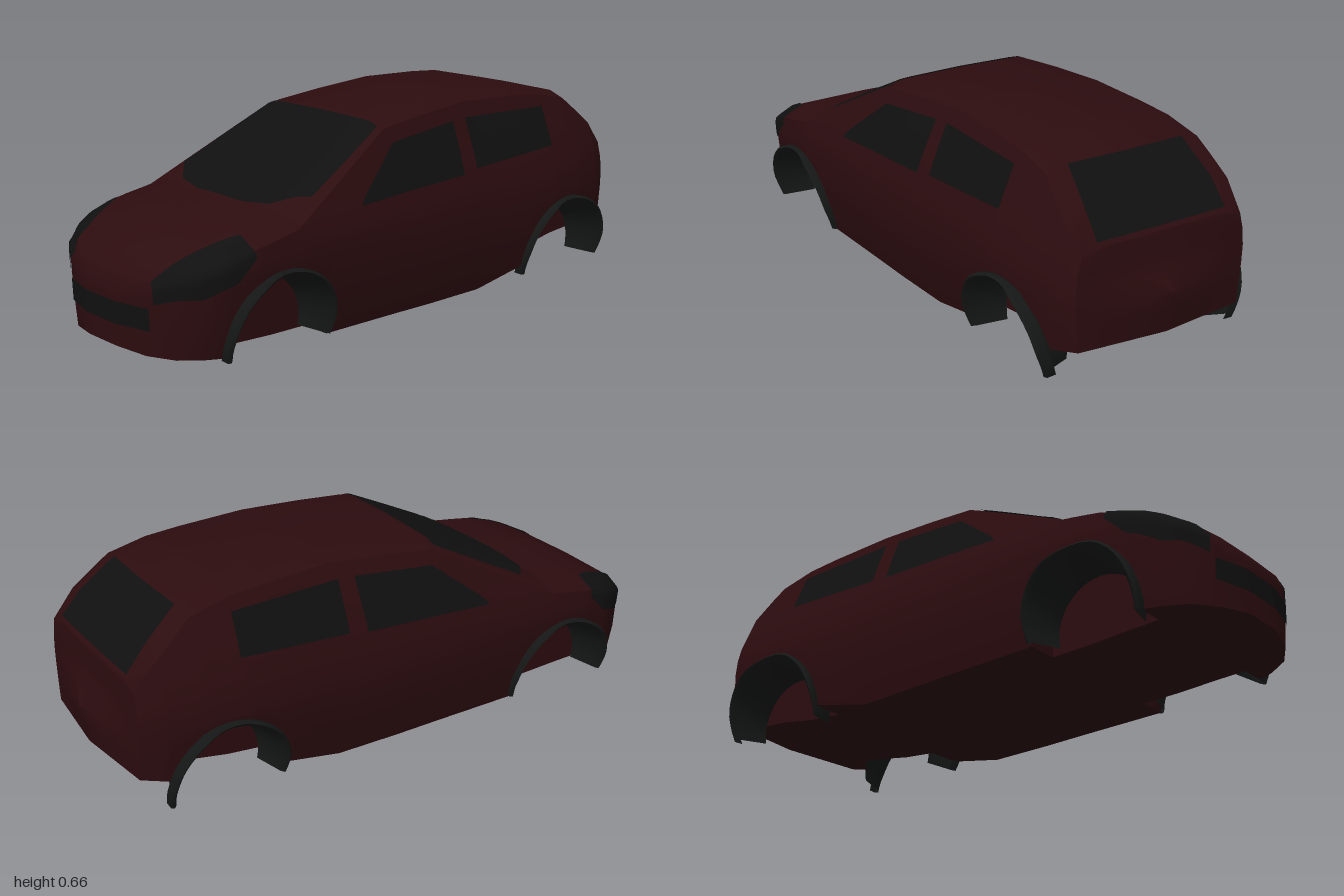
import * as THREE from 'three';
import { toCreasedNormals } from 'three/addons/utils/BufferGeometryUtils.js';

const paint = new THREE.MeshStandardMaterial({ color: 0x2c0c0f });
const glass = new THREE.MeshStandardMaterial({ color: 0x101010, side: THREE.DoubleSide });
const trim = new THREE.MeshStandardMaterial({ color: 0x151716, side: THREE.DoubleSide });

// Linear lookup in rows of [key, value, value...]
function lookup(rows, key) {
  if (key <= rows[0][0]) return rows[0].slice(1);
  for (let i = 1; i < rows.length; i++) {
    if (key <= rows[i][0]) {
      const a = rows[i - 1], b = rows[i], t = (key - a[0]) / (b[0] - a[0]);
      return a.slice(1).map((v, k) => v + (b[k + 1] - v) * t);
    }
  }
  return rows[rows.length - 1].slice(1);
}

// Surface through a grid of points
function gridGeometry(grid, closed = false) {
  const n = grid[0].length, index = [];
  for (let i = 0; i < grid.length - 1; i++) {
    for (let j = 0; j < (closed ? n : n - 1); j++) {
      const a = i * n + j, b = i * n + (j + 1) % n;
      index.push(a, a + n, b, b, a + n, b + n);
    }
  }
  const geo = new THREE.BufferGeometry();
  geo.setAttribute('position', new THREE.Float32BufferAttribute(grid.flat(2), 3));
  geo.setIndex(index);
  geo.computeVertexNormals();
  return geo;
}

// x, floor height, top height, width scale, widest height, shoulder drop
const STATIONS = [
  [-1, 0.04, 0.22, 0.2, 0.15, 0.03],
  [-0.97, 0.03, 0.265, 0.52, 0.18, 0.03],
  [-0.92, 0.025, 0.3, 0.75, 0.21, 0.035],
  [-0.85, 0.022, 0.335, 0.89, 0.25, 0.04],
  [-0.8, 0.02, 0.355, 0.95, 0.265, 0.04],
  [-0.7, 0.017, 0.385, 0.99, 0.28, 0.04],
  [-0.55, 0.01, 0.408, 1, 0.28, 0.035],
  [-0.12, 0.005, 0.625, 1, 0.28, 0.025],
  [0.05, 0.002, 0.643, 1, 0.28, 0.025],
  [0.27, 0, 0.66, 0.99, 0.28, 0.025],
  [0.5, 0.05, 0.65, 1, 0.28, 0.025],
  [0.62, 0.062, 0.64, 1, 0.28, 0.025],
  [0.75, 0.085, 0.61, 0.97, 0.28, 0.025],
  [0.87, 0.095, 0.51, 0.91, 0.27, 0.025],
  [0.945, 0.105, 0.42, 0.8, 0.24, 0.02],
];
// Half width of the body by height
const WIDTH = [[0, 0.34], [0.12, 0.375], [0.28, 0.39], [0.36, 0.38], [0.45, 0.345], [0.55, 0.305], [0.64, 0.265]];
// Rearward bulge of the tail by height
const BULGE = [[0.1, 0.03], [0.24, 0.055], [0.3, 0.018], [0.42, 0.005]];
const WHEELS = [-0.605, 0.675], AXLE = 0.06, WELL = 0.19;

function bodySection(x, k = 1, bulge = 0) {
  const [yb, yt, s, y4, d] = lookup(STATIONS, x);
  let low = yb;
  for (const c of WHEELS) {
    const q = WELL * WELL - (x - c) ** 2;
    if (q > 1e-6) low = Math.max(low, AXLE + Math.sqrt(q));
  }
  const w = (y) => lookup(WIDTH, y)[0] * s;
  const inner = Math.min(0.24, w(low) * 0.8), y7 = yt - d;
  const half = [[yb, 0], [yb, inner], [low, inner]];
  for (const y of [low, (low + y4) / 2, y4, y4 + (y7 - y4) * 0.33, y4 + (y7 - y4) * 0.67, y7]) half.push([y, w(y)]);
  half.push([yt - d * 0.15, w(y7) * 0.8], [yt, 0]);
  const mirrored = half.slice(1, -1).reverse().map(([y, z]) => [y, -z]);
  return [...half, ...mirrored].map(([y, z]) => [x + bulge * lookup(BULGE, y)[0], y, z * k]);
}

function makeBody() {
  const xs = STATIONS.map((r) => r[0]);
  for (const c of WHEELS) {
    for (let i = 0; i <= 14; i++) xs.push(c + WELL * Math.cos((i / 14) * Math.PI));
    xs.push(c - WELL - 0.003, c + WELL + 0.003);
  }
  for (let x = -0.35; x < 0.45; x += 0.12) xs.push(x);
  xs.sort((a, b) => a - b);
  const grid = [bodySection(-1, 0), ...xs.map((x) => bodySection(x))];
  for (const k of [0.75, 0.5, 0.25, 0]) grid.push(bodySection(0.945, k, 1 - k));
  const mesh = new THREE.Mesh(toCreasedNormals(gridGeometry(grid, true).toNonIndexed(), 0.7), paint);
  mesh.name = 'body';
  return mesh;
}

// Panel between two edges, laid onto the body from the side that dir points to
function panel(body, name, edgeA, edgeB, dir, nu = 14, nv = 8) {
  const ray = new THREE.Raycaster(), n = new THREE.Vector3(...dir).normalize();
  const along = (edge, t) => {
    const f = t * (edge.length - 1), i = Math.min(Math.floor(f), edge.length - 2);
    return new THREE.Vector3(...edge[i]).lerp(new THREE.Vector3(...edge[i + 1]), f - i);
  };
  const grid = [];
  for (let i = 0; i <= nu; i++) {
    const row = [], a = along(edgeA, i / nu), b = along(edgeB, i / nu);
    for (let j = 0; j <= nv; j++) {
      const p = a.clone().lerp(b, j / nv);
      ray.set(p.clone().addScaledVector(n, 3), n.clone().negate());
      const hit = ray.intersectObject(body)[0];
      if (hit) p.copy(hit.point).addScaledVector(hit.face.normal, 0.004);
      row.push(p.toArray());
    }
    grid.push(row);
  }
  const mesh = new THREE.Mesh(gridGeometry(grid), glass);
  mesh.name = name;
  return mesh;
}

// Wheel arch: rounded outer lip with a liner tapering inwards
function makeArch(cx, side) {
  const OUTER = [[0, 0.355], [0.1, 0.392], [0.2, 0.411], [0.24, 0.414], [0.27, 0.4]];
  const grid = [];
  for (let i = 0; i <= 28; i++) {
    const a = THREE.MathUtils.degToRad(-14 + (208 * i) / 28);
    const zo = lookup(OUTER, AXLE + 0.205 * Math.sin(a))[0];
    const ring = [[0.203, zo - 0.04], [0.205, zo - 0.008], [0.197, zo], [0.186, zo - 0.01], [0.157, 0.25]];
    grid.push(ring.map(([r, z]) => [cx + r * Math.cos(a), AXLE + r * Math.sin(a), side * z]));
  }
  const geo = toCreasedNormals(gridGeometry(grid).toNonIndexed(), 0.8);
  const mesh = new THREE.Mesh(geo, trim);
  mesh.name = (cx < 0 ? 'front' : 'rear') + 'WheelArch';
  return mesh;
}

export function createModel() {
  const car = new THREE.Group();
  car.name = 'car';
  const body = makeBody();
  body.updateMatrixWorld();
  car.add(body);

  for (const s of [-1, 1]) {
    // Side windows
    car.add(panel(body, 'frontSideWindow',
      [[-0.29, 0.395, s], [-0.1, 0.405, s], [0.175, 0.415, s]],
      [[-0.27, 0.42, s], [-0.1, 0.555, s], [0.185, 0.582, s]], [0, 0, s]));
    car.add(panel(body, 'rearSideWindow',
      [[0.24, 0.425, s], [0.62, 0.445, s]],
      [[0.243, 0.585, s], [0.62, 0.575, s]], [0, 0, s]));
    // Headlights
    car.add(panel(body, 'headlight',
      [[-0.96, 0.19, s * 0.21], [-0.87, 0.215, s * 0.33], [-0.78, 0.25, s * 0.37], [-0.71, 0.31, s * 0.37]],
      [[-0.955, 0.25, s * 0.19], [-0.87, 0.3, s * 0.22], [-0.78, 0.34, s * 0.26], [-0.71, 0.36, s * 0.29]],
      [-0.3, 0.6, s * 0.75]));
    for (const c of WHEELS) car.add(makeArch(c, s));
  }

  // Windscreen, rear window and grille
  const screen = (s) => [[-0.555, 1, s * 0.1], [-0.53, 1, s * 0.22], [-0.45, 1, s * 0.318], [-0.3, 1, s * 0.295], [-0.13, 1, s * 0.265]];
  car.add(panel(body, 'windscreen', screen(-1), screen(1), [0, 1, 0], 20, 16));
  car.add(panel(body, 'rearWindow',
    [[1, 0.428, -0.235], [1, 0.5, -0.232], [1, 0.6, -0.21]],
    [[1, 0.428, 0.235], [1, 0.5, 0.232], [1, 0.6, 0.21]], [1, 0, 0], 14, 16));
  car.add(panel(body, 'grille',
    [[-1, 0.11, -0.2], [-1, 0.11, 0.2]], [[-1, 0.18, -0.2], [-1, 0.18, 0.2]], [-1, 0, 0], 20, 6));
  return car;
}
